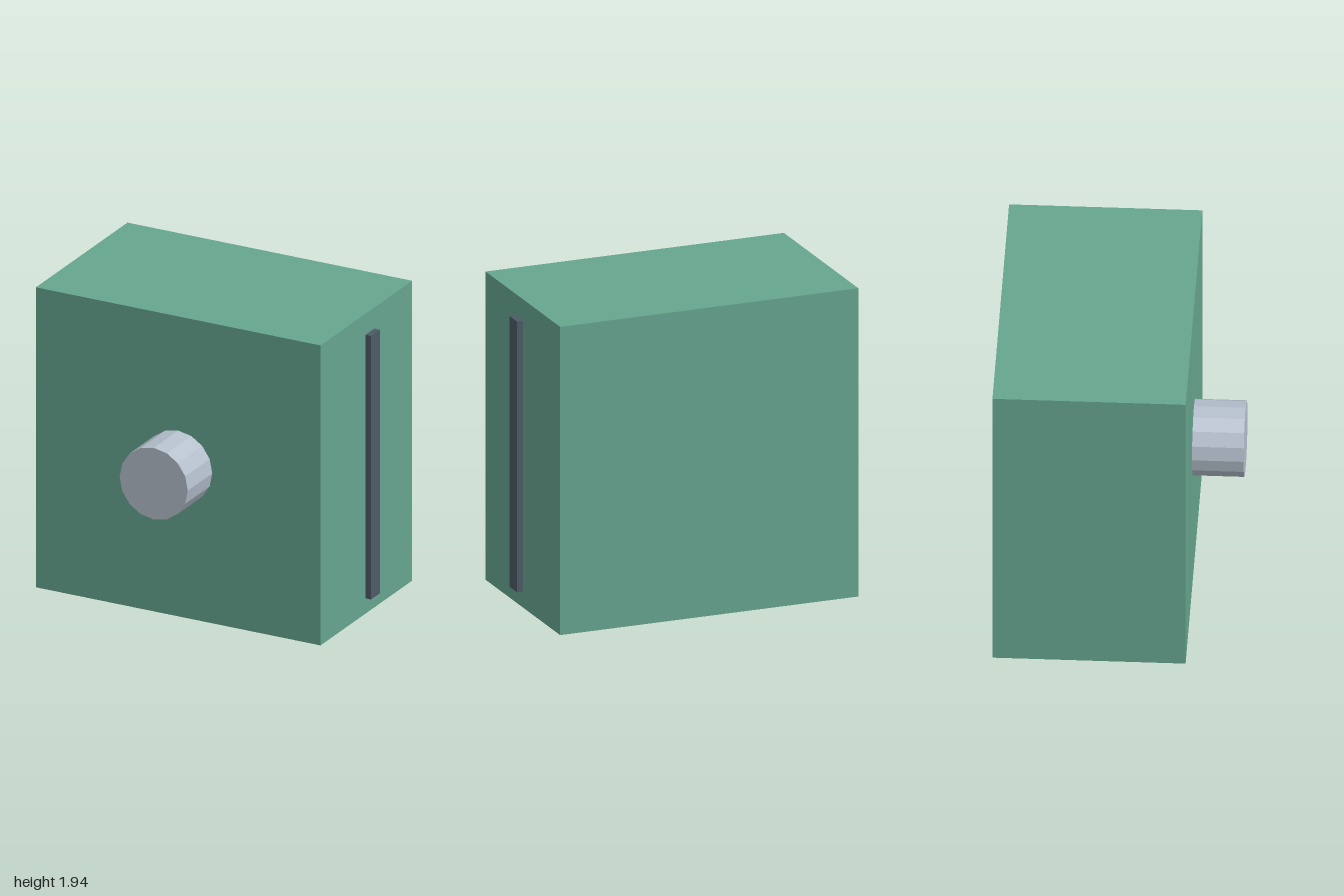
import * as THREE from 'three';

const paint = (color) => new THREE.MeshStandardMaterial({ color, flatShading: true });

// Box mesh given by its lower and upper corners
function block(name, min, max, material) {
  const size = max.map((v, i) => v - min[i]);
  const mesh = new THREE.Mesh(new THREE.BoxGeometry(...size), material);
  mesh.position.set(...max.map((v, i) => (v + min[i]) / 2));
  mesh.name = name;
  return mesh;
}

export function createModel() {
  const model = new THREE.Group();
  model.name = 'boxWithKnob';

  // Main cabinet
  model.add(block('body', [-1, 0, -0.735], [0.938, 1.944, 0.425], paint(0x66a58f)));

  // Upright bar standing just clear of the left side
  model.add(block('sideBar', [0.961, 0.12, -0.212], [1, 1.828, -0.099], paint(0x4d5b66)));

  // Sixteen-sided knob on the front
  const depth = 0.31;
  const knobShape = new THREE.CylinderGeometry(0.232, 0.232, depth, 16);
  knobShape.rotateX(Math.PI / 2);
  const knob = new THREE.Mesh(knobShape, paint(0xb4bfcc));
  knob.position.set(-0.031, 0.972, 0.425 + depth / 2);
  knob.name = 'knob';
  model.add(knob);

  return model;
}
